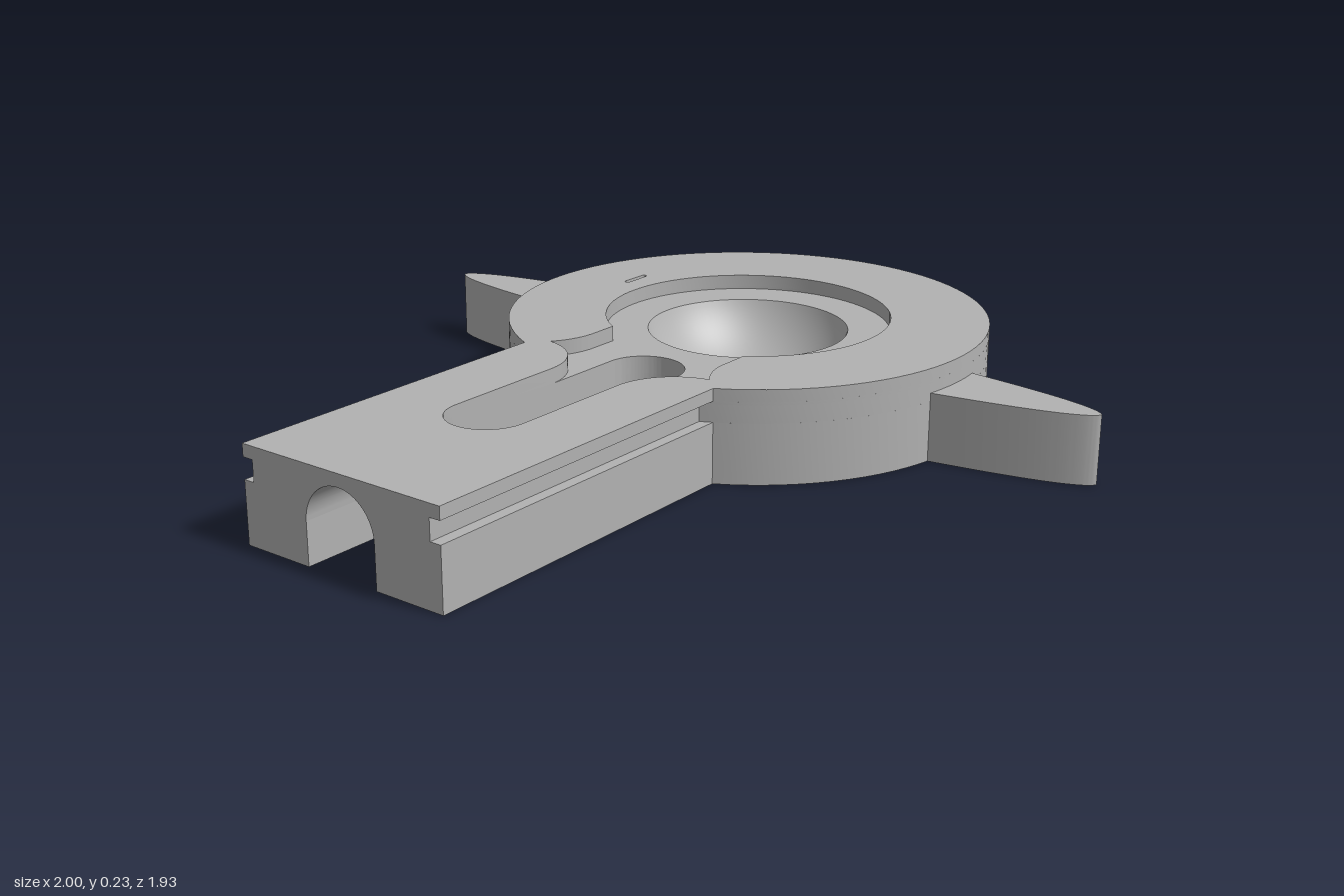
import * as THREE from 'three';
import { toCreasedNormals } from 'three/addons/utils/BufferGeometryUtils.js';

const CX = 0.402, R = 0.597;          // round body
const TOP = 0.227, FLOOR = 0.19;      // upper face and recess floor
const ARM = 0.278, GROOVE = 0.25;     // arm half width, and at the side groove
const SLOT = 0.097;                   // slot and channel half width
const SLOT_BACK = -0.558, SLOT_FRONT = -0.022; // centres of the slot's round ends
const BOWL = 0.25, HOLE = 0.07, HOLE_TOP = 0.03;

export function createModel() {
  const group = new THREE.Group();
  const grey = new THREE.MeshStandardMaterial({ color: 0xb2b2b2 });
  grey.name = 'plain grey';

  const add = (name, geometry) => {
    const mesh = new THREE.Mesh(toCreasedNormals(geometry, 0.5), grey);
    mesh.name = name;
    group.add(mesh);
    return mesh;
  };

  // Extrude a plan shape upwards from y0 to y1
  const slab = (name, shape, y0, y1) => {
    const g = new THREE.ExtrudeGeometry(shape, { depth: y1 - y0, bevelEnabled: false, curveSegments: 40 });
    g.rotateX(-Math.PI / 2);
    g.translate(0, y0, 0);
    return add(name, g);
  };

  // Plan of arm and disc, open along the channel; optionally with the recess
  const plan = (halfWidth, recessed) => {
    const s = new THREE.Shape();
    const a = Math.PI - Math.asin(halfWidth / R);
    s.moveTo(-1, SLOT);
    s.lineTo(-1, halfWidth);
    s.absarc(CX, 0, R, a, -a, true);
    s.lineTo(-1, -halfWidth);
    s.lineTo(-1, -SLOT);
    if (recessed) {
      const b = Math.PI - Math.asin(0.195 / 0.355);
      s.absarc(-0.24, -0.257, 0.16, Math.PI / 2, 0.14, true);
      s.quadraticCurveTo(-0.03, -0.195, 0.03, -0.195);
      s.absarc(CX, 0, 0.355, -b, b, false);
      s.lineTo(0.03, 0.195);
      s.quadraticCurveTo(-0.03, 0.195, -0.082, 0.235);
      s.absarc(-0.24, 0.257, 0.16, -0.14, -Math.PI / 2, true);
    } else {
      s.absarc(SLOT_FRONT, 0, SLOT, -Math.PI / 2, Math.PI / 2, false);
      const hole = new THREE.Path();
      hole.absarc(CX, 0, BOWL, 0, Math.PI * 2, true);
      s.holes.push(hole);
    }
    s.closePath();
    return s;
  };

  // Body in layers: base, grooved middle, recessed rim
  slab('base', plan(ARM, false), 0, 0.147);
  slab('groovedLayer', plan(GROOVE, false), 0.147, FLOOR);
  slab('groovedRim', plan(GROOVE, true), FLOOR, 0.197);
  const rim = plan(ARM, true);
  const notch = new THREE.Path();
  notch.absarc(0.447, 0.42, 0.007, Math.PI / 2, Math.PI * 1.5, false);
  notch.absarc(0.517, 0.42, 0.007, -Math.PI / 2, Math.PI / 2, false);
  notch.closePath();
  rim.holes.push(notch);
  slab('topRim', rim, 0.197, TOP);

  // Arched roof over the channel, cut by the round end of the slot
  const roof = new THREE.BoxGeometry(1, 1, 1, 1, 1, 32);
  const p = roof.attributes.position;
  for (let i = 0; i < p.count; i++) {
    const angle = p.getZ(i) * Math.PI;
    const z = SLOT * Math.sin(angle), h = SLOT * Math.cos(angle);
    p.setXYZ(i, p.getX(i) < 0 ? -1 : SLOT_BACK - h, p.getY(i) > 0 ? TOP : 0.1 + h, z);
  }
  add('channelRoof', roof);

  // Spherical bowl with a drain hole
  const k = FLOOR - HOLE_TOP;
  const lift = (BOWL ** 2 - HOLE ** 2 - k * k) / (2 * k);
  const radius = Math.hypot(BOWL, lift);
  const profile = [new THREE.Vector2(HOLE, 0), new THREE.Vector2(BOWL, 0)];
  const a0 = Math.asin(BOWL / radius), a1 = Math.asin(HOLE / radius);
  for (let i = 0; i <= 20; i++) {
    const a = a0 + (a1 - a0) * i / 20;
    profile.push(new THREE.Vector2(radius * Math.sin(a), FLOOR + lift - radius * Math.cos(a)));
  }
  profile.push(new THREE.Vector2(HOLE, 0));
  add('bowl', new THREE.LatheGeometry(profile, 80).translate(CX, 0, 0));

  // Two pointed fins, one turned half round from the other
  for (const [name, turn] of [['frontFin', 1], ['backFin', -1]]) {
    const s = new THREE.Shape();
    s.moveTo(-turn * 0.107, -turn * 0.56);
    s.quadraticCurveTo(-turn * 0.055, -turn * 0.94, 0, -turn * 0.964);
    s.quadraticCurveTo(turn * 0.05, -turn * 0.94, turn * 0.088, -turn * 0.56);
    s.closePath();
    slab(name, s, 0, 0.167).position.x = 0.4;
  }
  return group;
}
